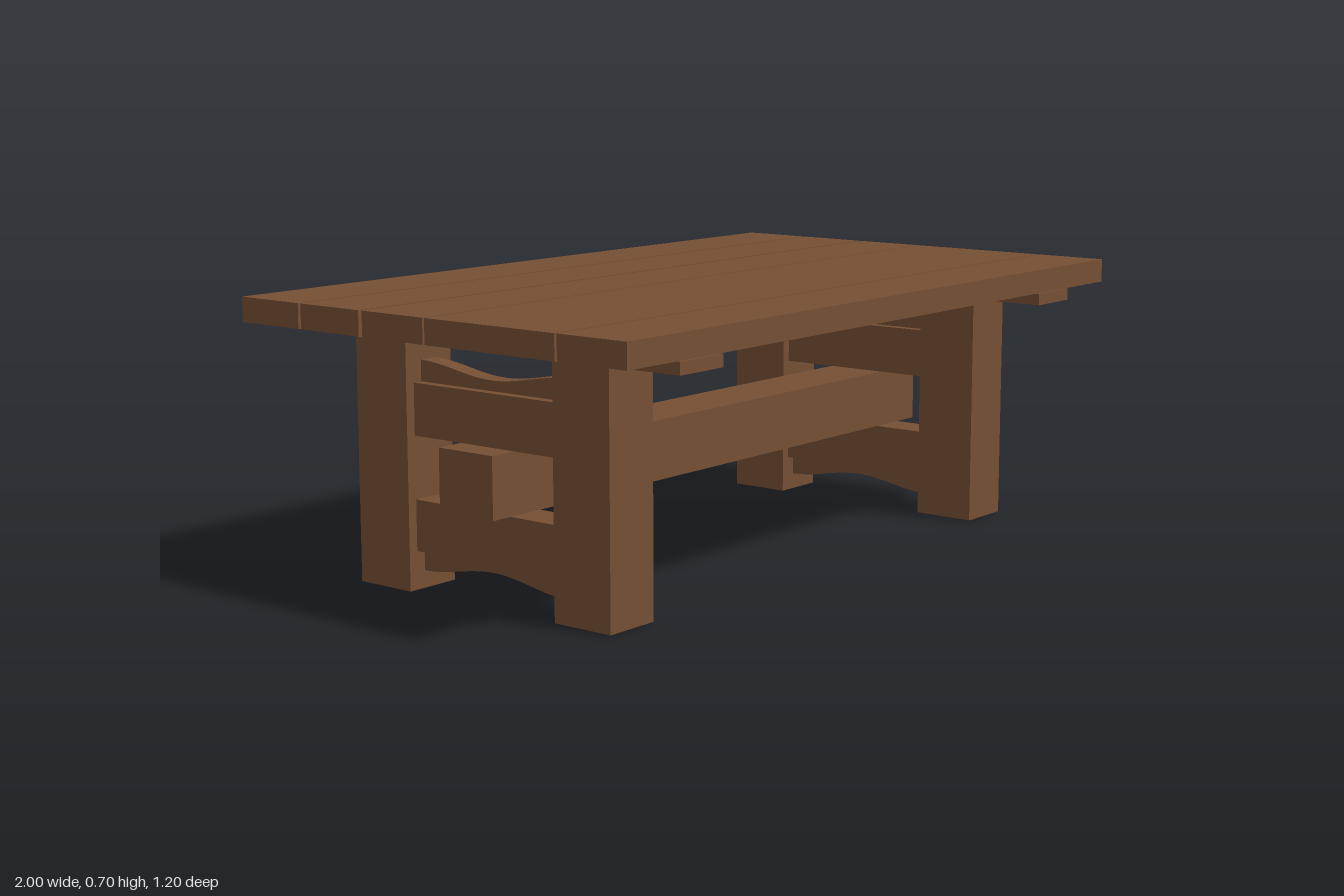
import * as THREE from 'three';

export function createModel() {
  const table = new THREE.Group();
  table.name = 'table';
  const wood = new THREE.MeshStandardMaterial({ color: 0x754f34 });
  wood.name = 'brown wood';

  // Box given by its lower and upper limits on each axis
  function block(name, x0, x1, y0, y1, z0, z1, parent = table) {
    const mesh = new THREE.Mesh(new THREE.BoxGeometry(x1 - x0, y1 - y0, z1 - z0), wood);
    mesh.position.set((x0 + x1) / 2, (y0 + y1) / 2, (z0 + z1) / 2);
    mesh.name = name;
    parent.add(mesh);
  }

  // Wavy board across the frame: straight at yFlat, curved from yEnd to yMid
  function wavyBoard(name, yFlat, yEnd, yMid, parent) {
    const half = 0.232, steps = 20, shape = new THREE.Shape();
    shape.moveTo(-half, yFlat);
    for (let i = 0; i <= steps; i++) {
      const t = -1 + (2 * i) / steps;
      const blend = (1 + Math.cos(Math.PI * t)) / 2;
      shape.lineTo(half * t, yEnd + (yMid - yEnd) * blend);
    }
    shape.lineTo(half, yFlat);
    const geometry = new THREE.ExtrudeGeometry(shape, { depth: 0.05, bevelEnabled: false });
    geometry.translate(0, 0, -0.025);
    geometry.rotateY(Math.PI / 2);
    const mesh = new THREE.Mesh(geometry, wood);
    mesh.name = name;
    parent.add(mesh);
  }

  // Table top planks, one of them double width
  const planks = [[0.405, 0.6], [0.01, 0.398], [-0.19, 0.004], [-0.395, -0.201], [-0.6, -0.404]];
  for (const [z0, z1] of planks) block('topPlank', -1, 1, 0.637, 0.698, z0, z1);

  // End frames
  for (const [name, x] of [['rightFrame', -0.751], ['leftFrame', 0.742]]) {
    const frame = new THREE.Group();
    frame.name = name;
    frame.position.x = x;
    block('batten', -0.075, 0.075, 0.605, 0.635, -0.6, 0.6, frame);
    block('frontLeg', -0.075, 0.075, 0, 0.601, 0.233, 0.4, frame);
    block('backLeg', -0.075, 0.075, 0, 0.601, -0.397, -0.23, frame);
    block('upperRail', -0.05, 0.05, 0.376, 0.503, -0.23, 0.232, frame);
    block('lowerRail', -0.05, 0.05, 0.095, 0.221, -0.23, 0.232, frame);
    wavyBoard('upperWavyBoard', 0.49, 0.555, 0.528, frame);
    wavyBoard('lowerWavyBoard', 0.11, 0.043, 0.071, frame);
    table.add(frame);
  }

  // Long stretcher through both frames
  block('stretcher', -0.87, 0.857, 0.224, 0.375, -0.082, 0.087);
  return table;
}
